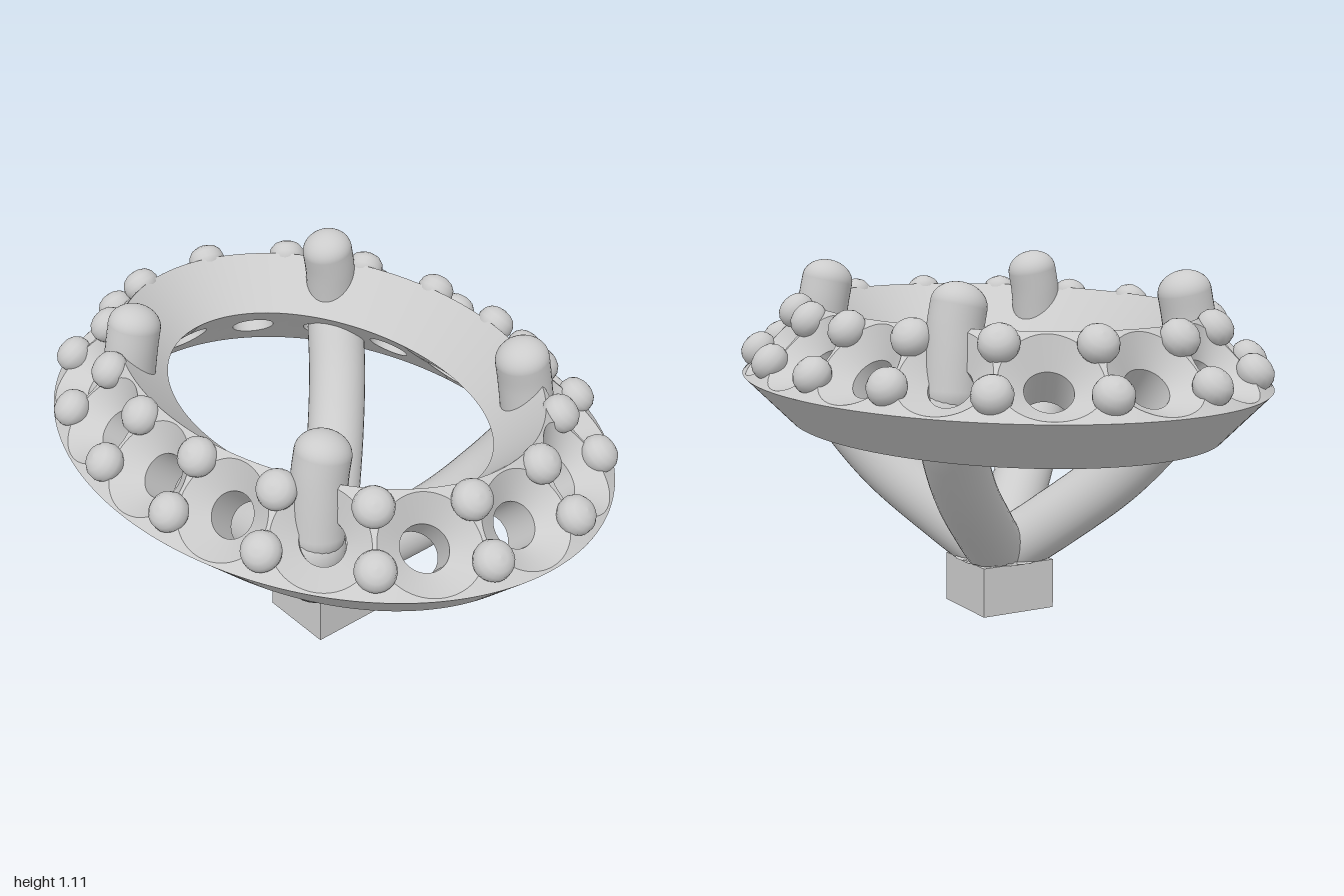
import * as THREE from 'three';
import { mergeGeometries } from 'three/addons/utils/BufferGeometryUtils.js';

const CELLS = 16, SIDES = 64, TAU = Math.PI * 2;
const V = (x, y, z) => new THREE.Vector3(x, y, z);

// Even spacing around the oval
const oval = new THREE.EllipseCurve(0, 0, 0.887, 0.672, 0, TAU);
oval.arcLengthDivisions = 800;
const angleAt = u => oval.getUtoTmapping(((u % 1) + 1) % 1) * TAU;

// Point on the oval, inset by d, at height y
function ringPoint(u, d, y) {
  const t = angleAt(u);
  return V((0.785 - d) * Math.sin(t), y, (1 - d) * Math.cos(t));
}
// Point on the sloping stone face: s runs up the slope, e is depth below it
const facePoint = (u, s, e) =>
  ringPoint(u, 0.225 * s + 0.707 * e, 0.76 + 0.225 * s - 0.707 * e);

// Smooth closed strip between two loops of points
function strip(a, b) {
  const n = a.length, index = [];
  for (let j = 0; j < n; j++) {
    const k = (j + 1) % n;
    index.push(j, k, n + j, k, n + k, n + j);
  }
  const g = new THREE.BufferGeometry().setFromPoints([...a, ...b]);
  g.setIndex(index);
  g.computeVertexNormals();
  return g;
}

// One cell of the halo: slope face, conical seat, drilled hole, underside
function seatCell(k) {
  const u0 = k / CELLS, thick = 0.212;
  const tangent = facePoint(u0 + 0.002, 0.5, 0).sub(facePoint(u0 - 0.002, 0.5, 0)).normalize();
  const slope = facePoint(u0, 1, 0).sub(facePoint(u0, 0, 0)).normalize();
  const loop = f => Array.from({ length: SIDES }, (_, j) => {
    const p = j / SIDES * TAU;
    return f(Math.cos(p), Math.sin(p));
  });
  const edge = e => loop((c, s) => {
    const m = 2 * Math.max(Math.abs(c), Math.abs(s));
    return facePoint(u0 + c / m / CELLS, 0.5 + s / m, e);
  });
  const rim = loop((c, s) => facePoint(u0 + 0.148 * c / 0.308 / CELLS, 0.5 + 0.15 * s / 0.318, 0));
  const hole = e => loop((c, s) => facePoint(u0, 0.5, e)
    .addScaledVector(tangent, 0.07 * c).addScaledVector(slope, 0.07 * s));
  const rows = [edge(0), rim, hole(0.07), hole(thick), edge(thick)];
  return rows.slice(1).map((row, i) => strip(rows[i], row));
}

export function createModel() {
  const model = new THREE.Group();
  const mat = new THREE.MeshStandardMaterial({ color: 0xcccccc });
  const matDouble = new THREE.MeshStandardMaterial({ color: 0xcccccc, side: THREE.DoubleSide });
  const add = (parent, name, geo, m = mat) => {
    const mesh = new THREE.Mesh(geo, m);
    mesh.name = name;
    parent.add(mesh);
    return mesh;
  };

  // Halo: square section tipped to 45 degrees, pierced by the seats
  const ring = (d, y) => Array.from({ length: 256 }, (_, j) => ringPoint(j / 256, d, y));
  const parts = [
    strip(ring(0.15, 0.61), ring(0, 0.76)),
    strip(ring(0.225, 0.985), ring(0.375, 0.835)),
  ];
  for (let k = 0; k < CELLS; k++) parts.push(...seatCell(k));
  add(model, 'halo', mergeGeometries(parts), matDouble);

  // Bead prongs: an outer and an inner bead between each pair of seats
  const beadProfile = [
    [0.036, -0.13], [0.036, -0.035], [0.046, -0.025], [0.057, -0.008], [0.061, 0.01],
    [0.056, 0.032], [0.042, 0.049], [0.022, 0.058], [0, 0.061],
  ].map(p => new THREE.Vector2(...p));
  const beadGeo = new THREE.LatheGeometry(beadProfile, 24);
  const beads = new THREE.Group();
  beads.name = 'beadProngs';
  for (let k = 0; k < CELLS; k++) {
    const u = (k + 0.5) / CELLS;
    for (const [name, s] of [['outerBead', 0.27], ['innerBead', 0.83]]) {
      const bead = add(beads, name, beadGeo);
      bead.position.copy(facePoint(u, s, 0));
      const axis = facePoint(u, s, -0.1).sub(bead.position).normalize();
      bead.quaternion.setFromUnitVectors(V(0, 1, 0), axis);
    }
  }
  model.add(beads);

  // Four curved struts and four claws, mirrored to each corner
  for (const sx of [1, -1]) for (const sz of [1, -1]) {
    const path = pts => new THREE.CatmullRomCurve3(pts.map(([x, y, z]) => V(x * sx, y, z * sz)));

    const strutPath = path([[-0.06, 0.1, -0.06], [0, 0.165, 0], [0.12, 0.285, 0.12],
      [0.27, 0.45, 0.27], [0.37, 0.61, 0.38], [0.43, 0.74, 0.46]]);
    const strutGeo = new THREE.TubeGeometry(strutPath, 40, 0.097, 32);
    const pos = strutGeo.attributes.position;
    for (let i = 0; i < pos.count; i++) pos.setY(i, Math.max(0.16, pos.getY(i)));
    add(model, 'strut', strutGeo);
    add(model, 'strutEnd', new THREE.SphereGeometry(0.097, 24, 16))
      .position.copy(strutPath.getPoint(1));

    const clawPath = path([[0.425, 0.8, 0.475], [0.415, 0.9, 0.468],
      [0.405, 0.98, 0.462], [0.392, 1.045, 0.46]]);
    add(model, 'claw', new THREE.TubeGeometry(clawPath, 20, 0.083, 32));
    const tip = add(model, 'clawTip', new THREE.SphereGeometry(0.083, 32, 20));
    tip.position.copy(clawPath.getPoint(1));
    tip.scale.y = 0.8;
    tip.rotation.z = sx * 0.25;
    add(model, 'clawFoot', new THREE.SphereGeometry(0.083, 24, 16))
      .position.copy(clawPath.getPoint(0));
  }

  // Square base block
  add(model, 'base', new THREE.BoxGeometry(0.256, 0.16, 0.256)).position.y = 0.08;
  return model;
}
